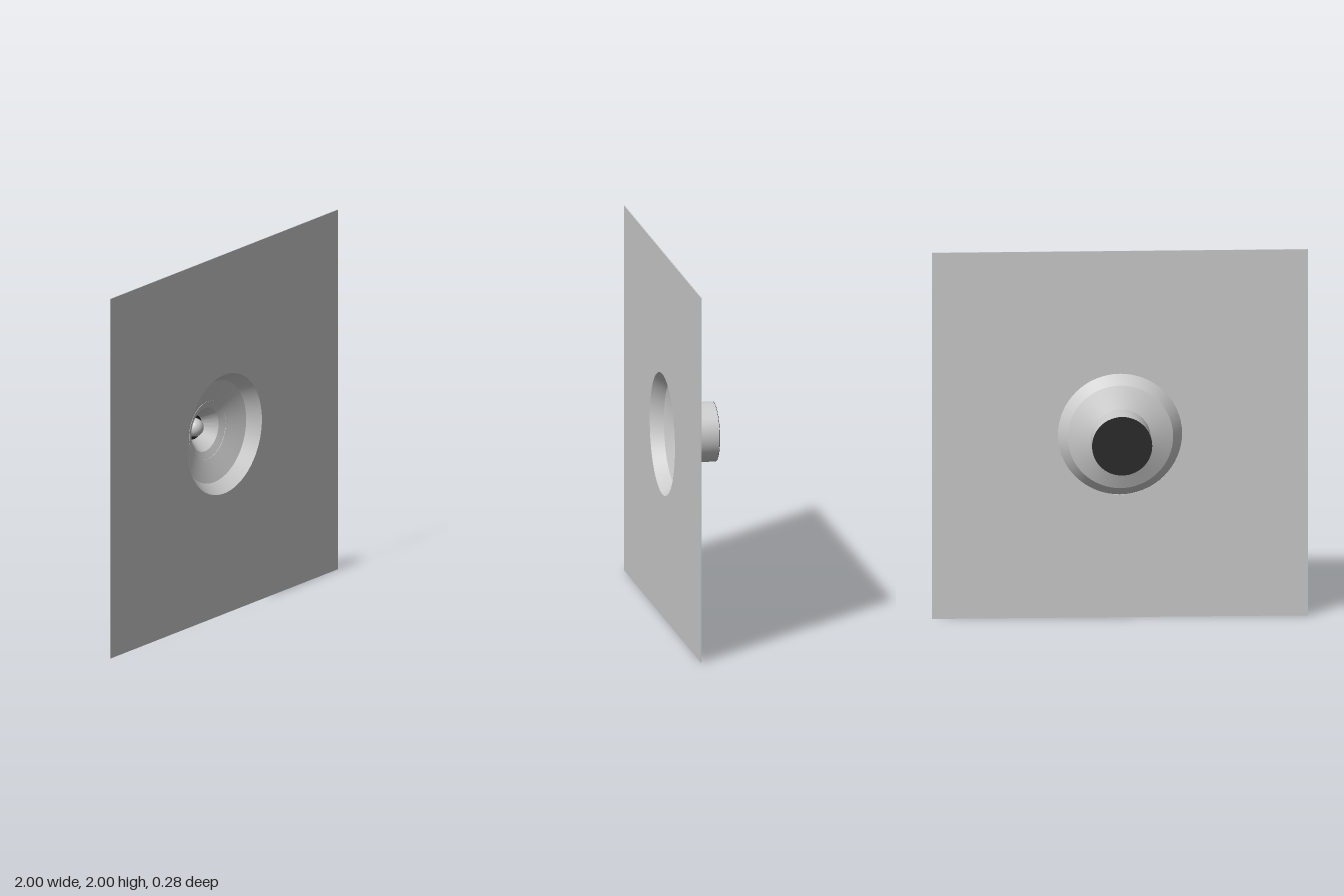
import * as THREE from 'three';
import { toCreasedNormals } from 'three/addons/utils/BufferGeometryUtils.js';

const SEGMENTS = 64;
const CENTRE_Y = 1;
const FRONT_Z = 0.14;

export function createModel() {
  const model = new THREE.Group();
  model.name = 'hornOnBaffle';
  const grey = new THREE.MeshStandardMaterial({ color: 0xcccccc, side: THREE.DoubleSide });
  grey.name = 'light grey';
  const black = new THREE.MeshStandardMaterial({ color: 0x2b2b2b, side: THREE.DoubleSide });
  black.name = 'black';

  const add = (name, geometry, material, z = 0) => {
    const mesh = new THREE.Mesh(geometry, material);
    mesh.name = name;
    mesh.position.set(0, CENTRE_Y, z);
    model.add(mesh);
  };

  // Turned part about the z axis, from [radius, z] pairs; creases kept sharp
  const turned = (pairs) => {
    const lathe = new THREE.LatheGeometry(pairs.map(([r, z]) => new THREE.Vector2(r, z)), SEGMENTS);
    return toCreasedNormals(lathe.rotateX(Math.PI / 2), 0.2);
  };

  // Thin square baffle with a round opening for the horn mouth
  const square = new THREE.Shape([[-1, -1], [1, -1], [1, 1], [-1, 1]].map(([x, y]) => new THREE.Vector2(x, y)));
  square.holes.push(new THREE.Path().absarc(0, 0, 0.33, 0, Math.PI * 2, true));
  const depth = 0.005;
  add('baffle', new THREE.ExtrudeGeometry(square, { depth, bevelEnabled: false, curveSegments: SEGMENTS / 2 }), grey, FRONT_Z - depth);

  // Flared horn, narrowing to the throat inside the driver
  add('horn', turned([[0.065, -0.06], [0.12, 0.01], [0.2, 0.042], [0.28, 0.073], [0.33, FRONT_Z]]), grey);

  // Driver body behind the horn, with its black back
  add('driverBody', turned([[0.16, -0.138], [0.16, 0.028]]), grey);
  add('driverBack', new THREE.CircleGeometry(0.16, SEGMENTS).rotateY(Math.PI), black, -0.14);

  // Throat: black surround and a small domed diaphragm
  add('throatSurround', new THREE.CircleGeometry(0.066, SEGMENTS), black, -0.06);
  add('dome', new THREE.SphereGeometry(0.05, 32, 10, 0, Math.PI * 2, 0, Math.PI / 2).rotateX(Math.PI / 2), grey, -0.06);

  return model;
}
